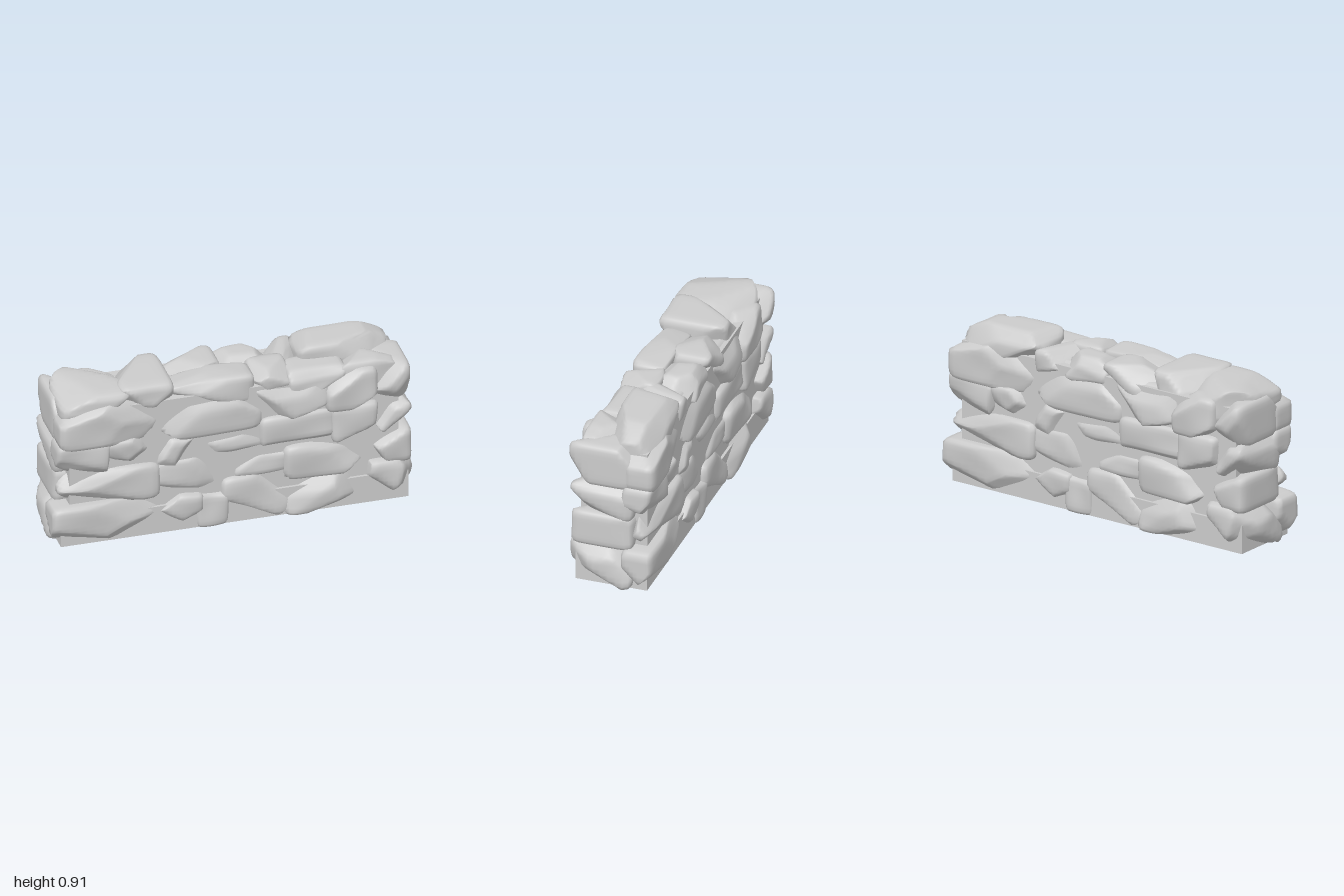
import * as THREE from 'three';
import { mergeVertices } from 'three/addons/utils/BufferGeometryUtils.js';

const material = new THREE.MeshStandardMaterial({ color: 0xcccccc });

function seeded(seed) {
  let s = (seed * 7919 + 17) % 233280;
  return () => (s = (s * 9301 + 49297) % 233280) / 233280;
}

// Rough stone filling the given box: a softened cube with its corners chopped off
function stone(name, [x0, x1], [y0, y1], [z0, z1], seed) {
  const rand = seeded(seed);
  rand();
  let g = new THREE.BoxGeometry(2, 2, 2, 12, 9, 9);
  g.deleteAttribute('uv');
  g.deleteAttribute('normal');
  g = mergeVertices(g);
  const chops = [];
  for (let i = 0; i < 9; i++) {
    const d = new THREE.Vector3(rand() * 2 - 1, rand() * 2 - 1, rand() * 2 - 1).normalize();
    chops.push({ d, h: Math.max(Math.abs(d.x), Math.abs(d.y), Math.abs(d.z)) + 0.08 + rand() * 0.14 });
  }
  const a = rand() * 6, b = rand() * 6;
  const size = new THREE.Vector3(x1 - x0, y1 - y0, z1 - z0).multiplyScalar(0.5);
  const centre = new THREE.Vector3(x0 + x1, y0 + y1, z0 + z1).multiplyScalar(0.5);
  const pos = g.attributes.position;
  const p = new THREE.Vector3();
  const n = 8;
  for (let i = 0; i < pos.count; i++) {
    p.fromBufferAttribute(pos, i);
    p.divideScalar((Math.abs(p.x) ** n + Math.abs(p.y) ** n + Math.abs(p.z) ** n) ** (1 / n));
    for (const { d, h } of chops) {
      const over = p.dot(d) - h;
      if (over > 0) p.addScaledVector(d, -over * 0.9);
    }
    const wave = 0.008 * Math.sin(p.x * 2.3 + a) * Math.cos(p.y * 2 + b);
    p.multiply(size).add(centre);
    p.z += wave * Math.sign(p.z);
    pos.setXYZ(i, THREE.MathUtils.clamp(p.x, -1, 1), Math.max(p.y, 0), p.z);
  }
  g.computeVertexNormals();
  const mesh = new THREE.Mesh(g, material);
  mesh.name = name;
  return mesh;
}

// Stones of one face: x0, x1, y0, y1
const courses = [
  { name: 'baseCourse', inset: 0, stones: [
    [-1, -0.42, 0, 0.23], [-0.42, -0.18, 0, 0.2], [-0.2, -0.04, 0, 0.2], [-0.06, 0.3, 0.01, 0.26],
    [0.28, 0.72, 0, 0.21], [0.72, 0.99, 0, 0.24]] },
  { name: 'secondCourse', inset: 0.014, stones: [
    [-0.95, -0.42, 0.23, 0.42], [-0.43, 0, 0.19, 0.41], [-0.02, 0.3, 0.24, 0.41],
    [0.28, 0.75, 0.21, 0.4], [0.75, 0.96, 0.23, 0.41]] },
  { name: 'thirdCourse', inset: 0.014, stones: [
    [-0.96, -0.69, 0.42, 0.6], [-0.69, -0.44, 0.44, 0.59], [-0.44, -0.22, 0.36, 0.57],
    [-0.24, 0.16, 0.39, 0.56], [0.15, 0.55, 0.4, 0.59], [0.54, 0.78, 0.4, 0.6], [0.76, 0.96, 0.4, 0.6]] },
  { name: 'fourthCourse', inset: 0, stones: [
    [-0.95, -0.42, 0.59, 0.81], [-0.42, 0.15, 0.55, 0.79], [0.13, 0.51, 0.58, 0.79],
    [0.51, 0.77, 0.59, 0.81], [0.76, 0.95, 0.59, 0.81]] },
];

// The wall is slimmer in the middle of its length
const faceDepth = (x) => 0.213 + 0.027 * THREE.MathUtils.smoothstep(Math.abs(x), 0.1, 0.6);

function wallFace(name, seed) {
  const face = new THREE.Group();
  face.name = name;
  for (const { name: course, inset, stones } of courses) {
    const row = new THREE.Group();
    row.name = course;
    for (const [x0, x1, y0, y1] of stones) {
      const z = faceDepth((x0 + x1) / 2) - inset;
      // End stones reach around the corner to meet the other face
      const inner = x1 > 0.9 ? -0.12 : x0 < -0.9 ? 0.06 : 0;
      row.add(stone('stone', [x0 - 0.012, x1 + 0.012], [y0 - 0.012, y1 + 0.012], [inner, z], seed++));
    }
    face.add(row);
  }
  return face;
}

export function createModel() {
  const wall = new THREE.Group();
  wall.name = 'stoneWall';

  // Solid mortar core behind the joints
  const core = new THREE.Mesh(new THREE.BoxGeometry(1.8, 0.79, 0.37), material);
  core.name = 'core';
  core.position.y = 0.395;
  wall.add(core);
  const footing = new THREE.Mesh(new THREE.BoxGeometry(1.9, 0.16, 0.4), material);
  footing.name = 'footing';
  footing.position.y = 0.08;
  wall.add(footing);

  // The back repeats the front, turned half round
  wall.add(wallFace('frontFace', 3));
  const back = wallFace('backFace', 3);
  back.rotation.y = Math.PI;
  wall.add(back);

  // Cap stones: x, y and z ranges
  const caps = [
    [[-0.94, -0.55], [0.68, 0.875], [-0.2, 0.2]],
    [[-0.62, -0.32], [0.7, 0.89], [-0.18, 0.2]],
    [[-0.34, -0.02], [0.7, 0.87], [-0.2, 0.03]],
    [[-0.34, 0.12], [0.7, 0.865], [0, 0.19]],
    [[-0.05, 0.25], [0.7, 0.865], [-0.2, 0.03]],
    [[0.11, 0.32], [0.7, 0.865], [-0.02, 0.19]],
    [[0.22, 0.42], [0.7, 0.855], [-0.2, 0.06]],
    [[0.3, 0.62], [0.68, 0.84], [0, 0.2]],
    [[0.58, 0.92], [0.68, 0.85], [0, 0.19]],
    [[0.39, 0.9], [0.72, 0.91], [-0.21, 0.07]],
  ];
  const capCourse = new THREE.Group();
  capCourse.name = 'capCourse';
  caps.forEach(([x, y, z], i) => capCourse.add(stone('capStone', x, y, z, 61 + i)));
  wall.add(capCourse);
  return wall;
}
